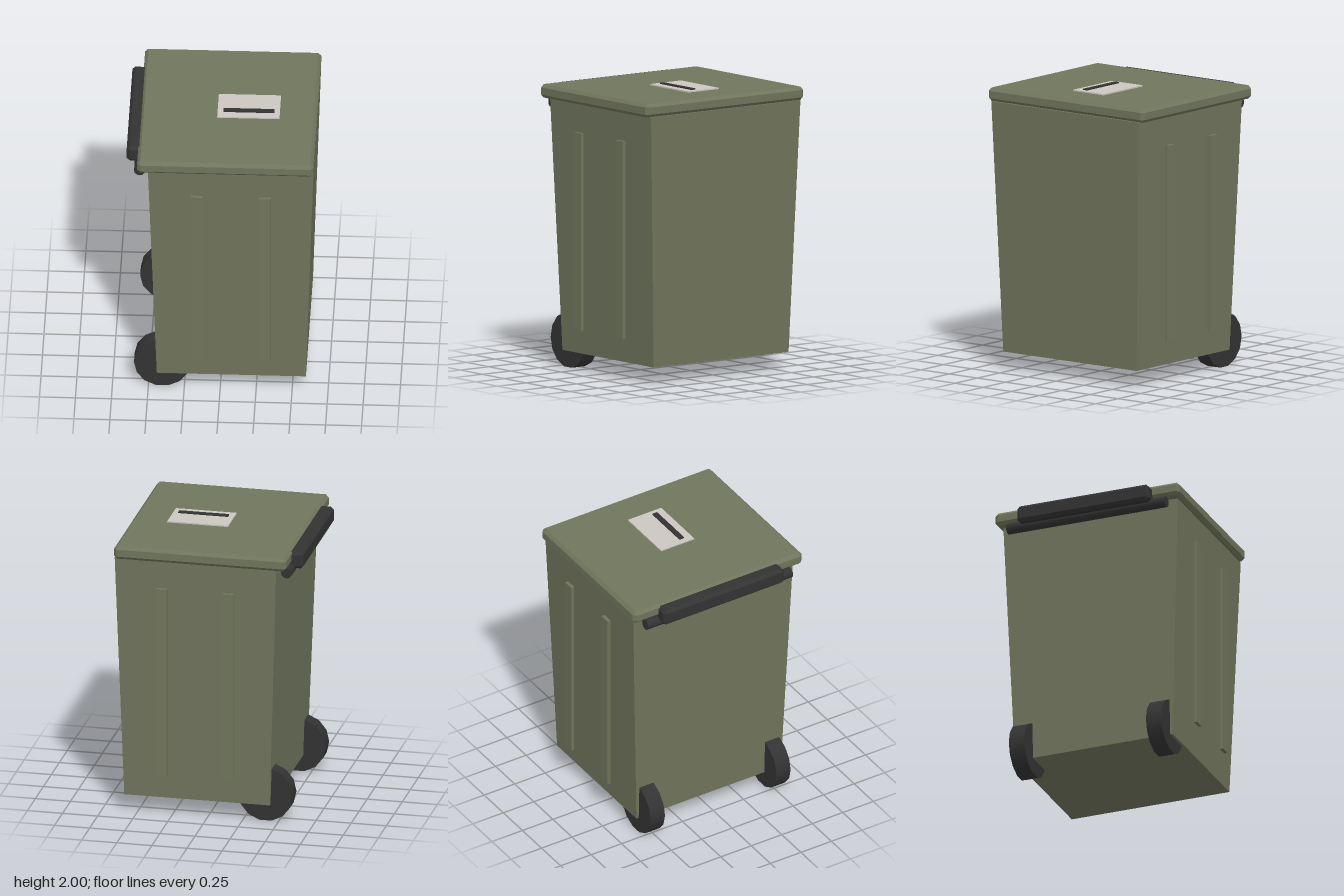
import * as THREE from 'three';
import { ConvexGeometry } from 'three/addons/geometries/ConvexGeometry.js';

// Box given by its limits on each axis
function boxBetween(x0, x1, y0, y1, z0, z1) {
  return new THREE.BoxGeometry(x1 - x0, y1 - y0, z1 - z0)
    .translate((x0 + x1) / 2, (y0 + y1) / 2, (z0 + z1) / 2);
}

// Box with all edges and corners cut by c
function chamferBox(x0, x1, y0, y1, z0, z1, c) {
  const half = [(x1 - x0) / 2, (y1 - y0) / 2, (z1 - z0) / 2];
  const points = [];
  for (const sx of [-1, 1]) for (const sy of [-1, 1]) for (const sz of [-1, 1]) {
    for (let full = 0; full < 3; full++) {
      const [x, y, z] = half.map((h, axis) => (axis === full ? h : h - c));
      points.push(new THREE.Vector3(sx * x, sy * y, sz * z));
    }
  }
  return new ConvexGeometry(points)
    .translate((x0 + x1) / 2, (y0 + y1) / 2, (z0 + z1) / 2);
}

// Cylinder lying along z, with a vertex on the x axis
function cylinderZ(radius, length, sides, x, y, z) {
  return new THREE.CylinderGeometry(radius, radius, length, sides, 1, false, Math.PI / 2)
    .rotateX(Math.PI / 2).translate(x, y, z);
}

export function createModel() {
  const group = new THREE.Group();
  const material = (name, color) => {
    const m = new THREE.MeshStandardMaterial({ color });
    m.name = name;
    return m;
  };
  const olive = material('olive plastic', 0x70755c);
  const black = material('black rubber', 0x333333);
  const pale = material('pale label', 0xcbc6c0);

  const add = (name, geometry, mat) => {
    const mesh = new THREE.Mesh(geometry, mat);
    mesh.name = name;
    group.add(mesh);
    return mesh;
  };

  // Tapered bin body
  const body = new THREE.BoxGeometry(2, 2, 2);
  const p = body.attributes.position;
  for (let i = 0; i < p.count; i++) {
    const top = p.getY(i) > 0;
    const right = p.getX(i) > 0;
    const x = top ? (right ? 0.65 : -0.5) : (right ? 0.596 : -0.441);
    p.setXYZ(i, x, top ? 1.887 : 0.118, Math.sign(p.getZ(i)) * (top ? 0.655 : 0.592));
  }
  body.computeVertexNormals();
  add('body', body, olive);

  // Lid with chamfered edges
  add('lid', chamferBox(-0.575, 0.65, 1.885, 1.98, -0.692, 0.692, 0.022), olive);

  // Upright ribs on the front and back
  for (const side of [1, -1]) {
    for (const x of [-0.16, 0.315]) {
      const z = 0.665 * side;
      add(side > 0 ? 'frontRib' : 'backRib',
        boxBetween(x - 0.04, x + 0.04, 0.298, 1.685, z - 0.012, z + 0.012), olive);
    }
  }

  // Wheels
  for (const side of [1, -1]) {
    add(side > 0 ? 'frontWheel' : 'backWheel',
      cylinderZ(0.195, 0.116, 14, -0.405, 0.19, 0.515 * side), black);
  }

  // Hinge rod and handle bar
  add('hingeRod', cylinderZ(0.039, 1.19, 12, -0.56, 1.845, 0), black);
  add('handle', chamferBox(-0.655, -0.535, 1.845, 1.965, -0.495, 0.493, 0.02), black);

  // Label plate on the lid, with its dark slot
  add('label', boxBetween(-0.04, 0.393, 1.983, 1.992, -0.138, 0.134), pale);
  add('slot', boxBetween(0, 0.355, 1.991, 2.0, 0.038, 0.076), black);

  return group;
}
